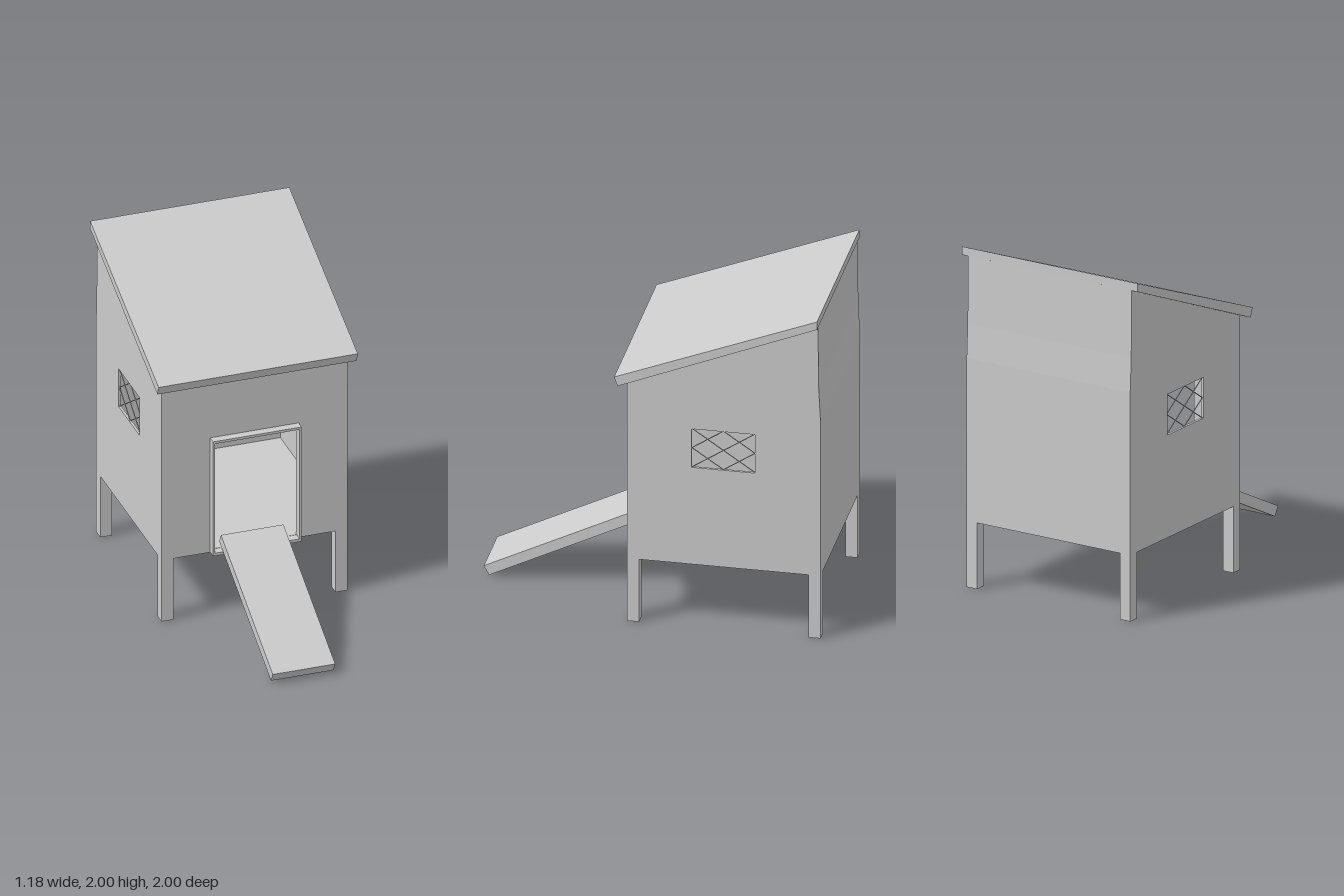
import * as THREE from 'three';

const material = new THREE.MeshStandardMaterial({ color: 0xcccccc, flatShading: true, side: THREE.DoubleSide });

function polygon(points, Type = THREE.Shape) {
  return new Type(points.map(([a, b]) => new THREE.Vector2(a, b)));
}

const rect = (a0, b0, a1, b1, Type) => polygon([[a0, b0], [a1, b0], [a1, b1], [a0, b1]], Type);

function add(parent, name, geometry) {
  const mesh = new THREE.Mesh(geometry, material);
  mesh.name = name;
  parent.add(mesh);
  return mesh;
}

function box(parent, name, x0, x1, y0, y1, z0, z1) {
  const mesh = add(parent, name, new THREE.BoxGeometry(x1 - x0, y1 - y0, z1 - z0));
  mesh.position.set((x0 + x1) / 2, (y0 + y1) / 2, (z0 + z1) / 2);
  return mesh;
}

// Extrudes a side profile, drawn with a = -z and b = y, from x0 to x1
function sideExtrude(shape, x0, x1) {
  const g = new THREE.ExtrudeGeometry(shape, { depth: x1 - x0, bevelEnabled: false });
  return g.rotateY(Math.PI / 2).translate(x0, 0, 0);
}

export function createModel() {
  const model = new THREE.Group();
  model.name = 'henHouse';
  const half = 0.55, wall = 0.015, bottom = 0.39, front = 0.105;
  const win = { a0: 0.265, a1: 0.625, b0: 0.995, b1: 1.235 };

  // Side walls, each with a window opening and crossed wires
  for (const [side, s] of [['left', 1], ['right', -1]]) {
    const shape = polygon([[-front, bottom], [1, bottom], [1, 1.35], [0.99, 1.55], [0.985, 1.945], [-front, 1.498]]);
    shape.holes.push(rect(win.a0, win.b0, win.a1, win.b1, THREE.Path));
    const inner = s > 0 ? half - wall : -half;
    add(model, side + 'Wall', sideExtrude(shape, inner, inner + wall));

    const mesh = new THREE.Group();
    mesh.name = side + 'WindowWire';
    model.add(mesh);
    const am = (win.a0 + win.a1) / 2, bm = (win.b0 + win.b1) / 2;
    const wires = [
      [win.a0, win.b0, win.a1, win.b1], [win.a0, win.b1, win.a1, win.b0],
      [win.a0, bm, am, win.b1], [win.a0, bm, am, win.b0],
      [am, win.b1, win.a1, bm], [am, win.b0, win.a1, bm],
    ];
    for (const [a0, b0, a1, b1] of wires) {
      const length = Math.hypot(a1 - a0, b1 - b0);
      const wire = add(mesh, 'wire', new THREE.CylinderGeometry(0.003, 0.003, length, 6));
      wire.position.set(s * (half - wall / 2), (b0 + b1) / 2, -(a0 + a1) / 2);
      wire.rotation.x = -Math.atan2(a1 - a0, b1 - b0);
    }
  }

  // Front wall with the doorway cut through
  const frontShape = rect(-half + wall, bottom, half - wall, 1.498);
  frontShape.holes.push(rect(-0.25, 0.41, 0.25, 1.105, THREE.Path));
  const frontWall = add(model, 'frontWall', new THREE.ExtrudeGeometry(frontShape, { depth: wall, bevelEnabled: false }));
  frontWall.position.z = front - wall;

  // Back wall, leaning in slightly at the top
  const backShape = polygon([[1 - wall, bottom], [1, bottom], [1, 1.35], [0.99, 1.55], [0.985, 1.945], [0.97, 1.939]]);
  add(model, 'backWall', sideExtrude(backShape, -half + wall, half - wall));

  box(model, 'floor', -half + wall, half - wall, bottom, 0.41, -1 + wall, front - wall);

  // Shallow frame standing out around the doorway
  const frameShape = rect(-0.262, bottom, 0.262, 1.12);
  frameShape.holes.push(rect(-0.25, 0.408, 0.25, 1.105, THREE.Path));
  const doorFrame = add(model, 'doorFrame', new THREE.ExtrudeGeometry(frameShape, { depth: 0.05, bevelEnabled: false }));
  doorFrame.position.z = front;

  // Sloping roof slab with a vertical rear edge
  const roof = polygon([[-0.15, 1.48], [0.988, 1.946], [0.988, 1.995], [-0.17, 1.535]]);
  add(model, 'roof', sideExtrude(roof, -0.59, 0.59));

  // Entrance ramp
  const ramp = polygon([[-0.97, 0.01], [-0.095, 0.445], [-0.125, 0.5], [-1, 0.065]]);
  add(model, 'ramp', sideExtrude(ramp, -0.205, 0.165));

  // Four legs flush with the corners
  for (const x of [-half, half - 0.07]) {
    box(model, 'frontLeg', x, x + 0.07, 0, bottom, front - 0.07, front);
    box(model, 'backLeg', x, x + 0.07, 0, bottom, -1, -0.93);
  }
  return model;
}
